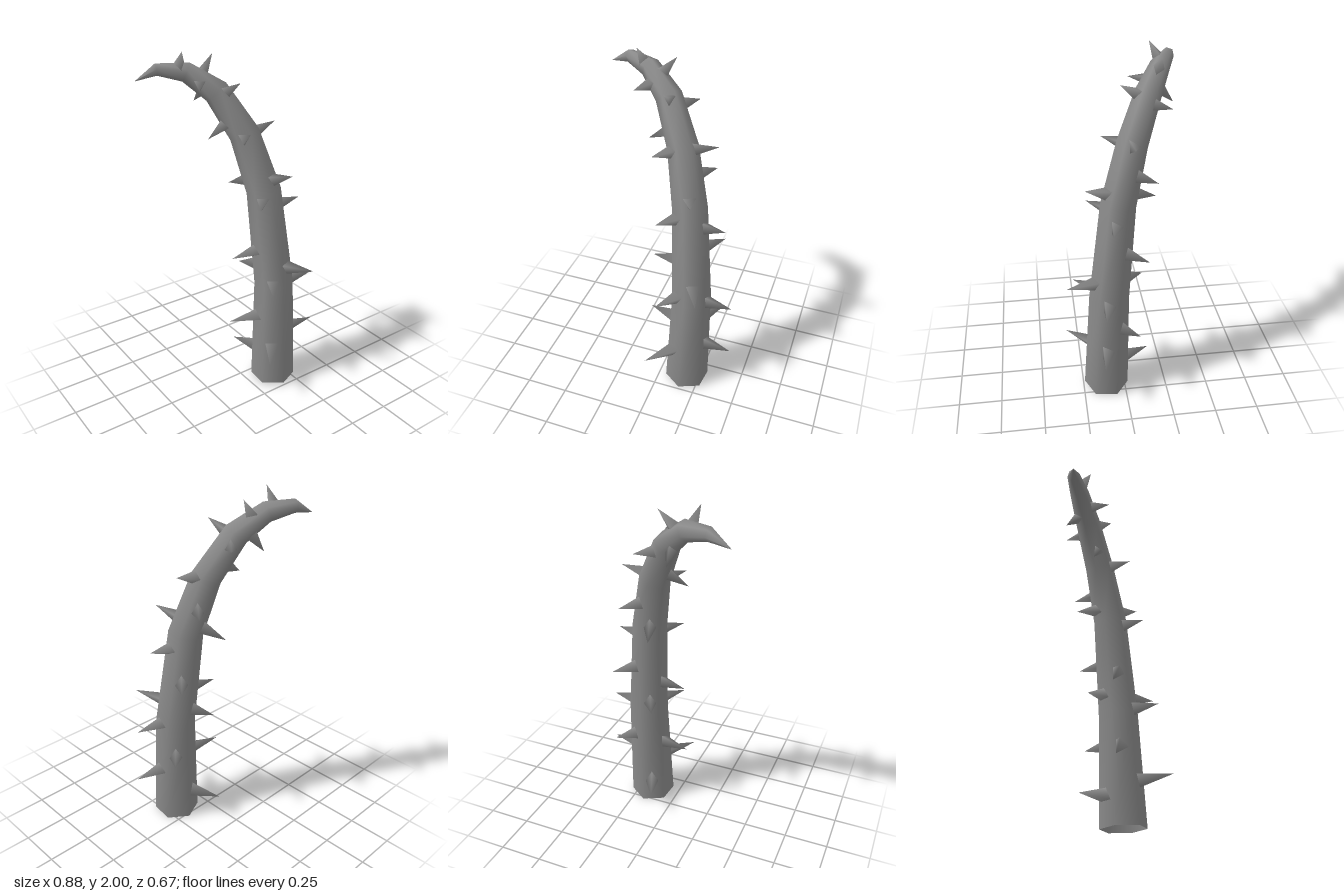
import * as THREE from 'three';
import { mergeVertices } from 'three/addons/utils/BufferGeometryUtils.js';

const SIDES = 6;
const START = THREE.MathUtils.degToRad(35.7);
const UP = new THREE.Vector3(0, 1, 0);

// Stem cross-sections: centre x, y, z and radius
const rings = [
  [0.167, 0.006, 0.11, 0.132],
  [0.178, 0.65, 0.088, 0.114],
  [0.138, 1.22, 0.03, 0.098],
  [0.065, 1.54, -0.055, 0.085],
  [-0.05, 1.77, -0.155, 0.073],
  [-0.185, 1.877, -0.24, 0.056],
  [-0.325, 1.895, -0.307, 0.036],
  [-0.44, 1.845, -0.33, 0.001],
].map(([x, y, z, r]) => ({ c: new THREE.Vector3(x, y, z), r }));

// Thorn tips, grouped by the side of the stem they grow on
const thornTips = [
  // left side
  [0.44, 0.328, 0.14], [0.43, 0.655, 0.13], [0.355, 1.148, 0.08], [0.265, 1.585, -0.045],
  // back left
  [0.33, 0.465, -0.075], [0.31, 0.952, -0.12], [0.228, 1.38, -0.173], [0.092, 1.73, -0.26],
  // back
  [0.06, 0.163, -0.162], [0.07, 0.728, -0.118], [0.05, 1.218, -0.192], [-0.105, 1.7, -0.3],
  // right side
  [-0.098, 0.432, 0.023], [-0.078, 0.848, 0.028], [-0.145, 1.537, -0.097],
  // front right
  [-0.03, 0.272, 0.335], [0.023, 0.683, 0.283], [-0.005, 1.185, 0.193], [-0.055, 1.545, 0.102], [-0.213, 1.815, -0.066],
  // front
  [0.272, 0.79, 0.33], [0.195, 1.345, 0.212], [0, 1.838, 0],
  // top of the bend
  [-0.028, 1.962, -0.222], [-0.237, 1.997, -0.185],
].map((p) => new THREE.Vector3(...p));

// Tapered six-sided tube, open below and bending to a point
function stemGeometry() {
  const pos = [];
  const index = [];
  rings.forEach(({ c, r }, i) => {
    const before = rings[Math.max(i - 1, 0)].c;
    const after = rings[Math.min(i + 1, rings.length - 1)].c;
    const tangent = after.clone().sub(before).normalize();
    const turn = new THREE.Quaternion().setFromUnitVectors(UP, tangent);
    for (let j = 0; j < SIDES; j++) {
      const a = START + (j / SIDES) * Math.PI * 2;
      const p = new THREE.Vector3(Math.cos(a) * r, 0, Math.sin(a) * r).applyQuaternion(turn).add(c);
      pos.push(p.x, p.y, p.z);
      if (i === rings.length - 1) continue;
      const k = i * SIDES;
      const n = k + ((j + 1) % SIDES);
      index.push(k + j, k + j + SIDES, n, n, k + j + SIDES, n + SIDES);
    }
  });
  const g = new THREE.BufferGeometry();
  g.setAttribute('position', new THREE.Float32BufferAttribute(pos, 3));
  g.setIndex(index);
  g.computeVertexNormals();
  return g;
}

// Nearest point on the stem's centre line, with the radius there
function nearestOnStem(tip) {
  let best = null;
  for (let i = 0; i < rings.length - 1; i++) {
    const a = rings[i];
    const b = rings[i + 1];
    const line = new THREE.Line3(a.c, b.c);
    const t = line.closestPointToPointParameter(tip, true);
    const point = line.at(t, new THREE.Vector3());
    const distance = point.distanceTo(tip);
    if (!best || distance < best.distance) {
      best = { point, distance, r: THREE.MathUtils.lerp(a.r, b.r, t) };
    }
  }
  return best;
}

// Smooth three-sided spike with one shared apex
function spikeGeometry(radius, length) {
  const cone = new THREE.ConeGeometry(radius, length, 3, 1, true);
  cone.deleteAttribute('normal');
  cone.deleteAttribute('uv');
  const g = mergeVertices(cone);
  g.translate(0, length / 2, 0);
  g.computeVertexNormals();
  return g;
}

// Thorn growing out of the stem; its ridge points up at the back,
// down at the front and sideways on the two flanks
function makeThorn(tip, material) {
  const { point, distance, r } = nearestOnStem(tip);
  const d = tip.clone().sub(point).normalize();
  const facing = d.z / Math.hypot(d.x, d.z);
  const ridge = new THREE.Vector3();
  if (Math.abs(facing) < 0.4) ridge.crossVectors(UP, d);
  else ridge.set(0, -Math.sign(facing), 0);

  const inset = r * 0.7;
  const thorn = new THREE.Mesh(spikeGeometry(0.026 + r * 0.2, distance - inset), material);
  const x = d.clone().cross(ridge).normalize();
  const z = x.clone().cross(d);
  thorn.quaternion.setFromRotationMatrix(new THREE.Matrix4().makeBasis(x, d, z));
  thorn.position.copy(point).addScaledVector(d, inset);
  thorn.name = 'thorn';
  return thorn;
}

export function createModel() {
  const material = new THREE.MeshStandardMaterial({ color: 0x8a8a8a, side: THREE.DoubleSide });
  const model = new THREE.Group();
  model.name = 'thornyVine';

  const stem = new THREE.Mesh(stemGeometry(), material);
  stem.name = 'stem';
  model.add(stem);

  const thorns = new THREE.Group();
  thorns.name = 'thorns';
  thornTips.forEach((tip) => thorns.add(makeThorn(tip, material)));
  model.add(thorns);
  return model;
}
